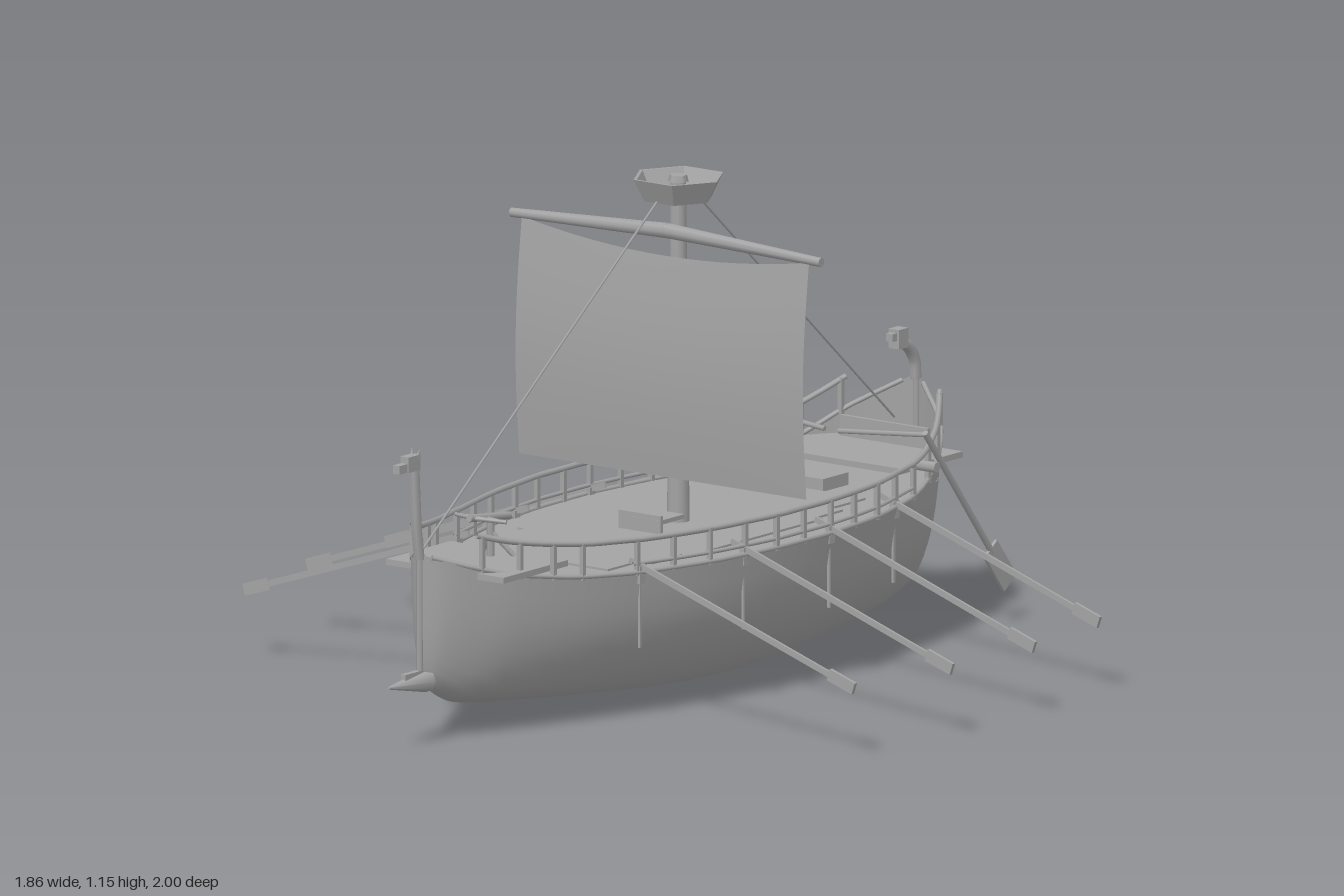
import * as THREE from 'three';

const grey = new THREE.MeshStandardMaterial({ color: 0xa3a3a3, side: THREE.DoubleSide });
grey.name = 'weatheredGrey';
const V = (x, y, z) => new THREE.Vector3(x, y, z);

// Hull stations: z, half width, sheer height, keel height
const stations = [
  [0.885, 0.004, 0.44, 0.15], [0.85, 0.05, 0.425, 0.12], [0.78, 0.1, 0.4, 0.083], [0.7, 0.147, 0.378, 0.066],
  [0.55, 0.212, 0.358, 0.045], [0.4, 0.264, 0.351, 0.028], [0.2, 0.318, 0.35, 0.01], [0, 0.345, 0.35, 0.001],
  [-0.2, 0.347, 0.35, 0.003], [-0.4, 0.325, 0.35, 0.016], [-0.6, 0.275, 0.355, 0.034], [-0.7, 0.24, 0.372, 0.044],
  [-0.8, 0.192, 0.408, 0.055], [-0.88, 0.135, 0.46, 0.066], [-0.94, 0.055, 0.51, 0.08], [-0.97, 0.004, 0.54, 0.095],
];
// Linear look-up of half width, sheer and keel at any z
function hullAt(z) {
  let i = 0;
  while (i < stations.length - 2 && z < stations[i + 1][0]) i++;
  const a = stations[i], b = stations[i + 1];
  const t = THREE.MathUtils.clamp((a[0] - z) / (a[0] - b[0]), 0, 1);
  return { w: a[1] + (b[1] - a[1]) * t, top: a[2] + (b[2] - a[2]) * t, keel: a[3] + (b[3] - a[3]) * t };
}

// Surface through a grid of points
function grid(nu, nv, at) {
  const pos = [], idx = [];
  for (let i = 0; i <= nu; i++) for (let j = 0; j <= nv; j++) {
    pos.push(...at(i / nu, j / nv));
    if (i < nu && j < nv) {
      const a = i * (nv + 1) + j, b = a + nv + 1;
      idx.push(a, b, a + 1, b, b + 1, a + 1);
    }
  }
  const g = new THREE.BufferGeometry();
  g.setAttribute('position', new THREE.Float32BufferAttribute(pos, 3));
  g.setIndex(idx);
  g.computeVertexNormals();
  return g;
}

export function createModel() {
  const ship = new THREE.Group();
  ship.name = 'galley';
  const add = (name, geo, parent = ship) => {
    const m = new THREE.Mesh(geo, grey);
    m.name = name;
    parent.add(m);
    return m;
  };
  const group = (name) => {
    const g = new THREE.Group();
    g.name = name;
    ship.add(g);
    return g;
  };
  const box = (name, w, h, d, x, y, z, parent) => {
    const m = add(name, new THREE.BoxGeometry(w, h, d), parent);
    m.position.set(x, y, z);
    return m;
  };
  // Round bar between two points
  const bar = (name, a, b, r0, r1 = r0, parent = ship, sides = 6) => {
    const m = add(name, new THREE.CylinderGeometry(r1, r0, a.distanceTo(b), sides), parent);
    m.position.copy(a).lerp(b, 0.5);
    m.quaternion.setFromUnitVectors(V(0, 1, 0), b.clone().sub(a).normalize());
    return m;
  };
  const tube = (name, pts, r, n = 24, parent = ship) =>
    add(name, new THREE.TubeGeometry(new THREE.CatmullRomCurve3(pts), n, r, 6), parent);

  // Hull shell: half section swept along the stations, mirrored across the keel
  const section = new THREE.CatmullRomCurve3([
    V(0, 0, 0), V(0.5, 0.1, 0), V(0.77, 0.33, 0), V(0.93, 0.62, 0), V(1, 1, 0)]);
  const spine = new THREE.CatmullRomCurve3(stations.map(s => V(s[1], s[2], s[0])));
  const keel = new THREE.CatmullRomCurve3(stations.map(s => V(0, s[3], s[0])));
  add('hull', grid(45, 20, (u, v) => {
    const s = spine.getPoint(u), k = keel.getPoint(u), t = v * 2 - 1;
    const p = section.getPoint(Math.abs(t));
    return [Math.sign(t) * p.x * s.x, k.y + (s.y - k.y) * p.y, s.z];
  }));

  // Deck planking and the raised platforms at both ends
  add('deck', grid(36, 1, (u, v) => {
    const z = 0.87 - u * 1.82;
    return [(1 - v * 2) * hullAt(z).w * 0.985, 0.348, z];
  }));
  for (const [w, z0, z1] of [[0.19, -0.53, 0.43], [0.225, -0.4, 0.31], [0.245, -0.3, 0.2]])
    box('deckPlanks', w * 2, 0.008, z1 - z0, 0, 0.349, (z0 + z1) / 2);
  box('bowPlatform', 0.335, 0.014, 0.24, 0, 0.385, 0.67);
  box('sternPlatform', 0.4, 0.014, 0.235, 0, 0.395, -0.762);
  box('sternBoard', 0.25, 0.05, 0.01, 0, 0.425, -0.85);
  box('sternHatch', 0.12, 0.03, 0.095, 0, 0.362, -0.588);
  box('mastBench', 0.12, 0.01, 0.09, 0, 0.38, 0.02);
  box('mastBenchBack', 0.12, 0.05, 0.008, 0, 0.37, 0.06);

  // Gunwales, railings and posts on both sides
  for (const s of [1, -1]) {
    const rails = group(s > 0 ? 'leftRailing' : 'rightRailing');
    const along = (z0, z1, lift, n, k = 0.99) => Array.from({ length: n + 1 }, (_, i) => {
      const z = z0 + (z1 - z0) * i / n, h = hullAt(z);
      return V(s * h.w * k, h.top + lift, z);
    });
    tube('gunwale', along(0.87, -0.955, 0, 24, 1), 0.006, 48, rails);
    tube('bowRail', along(0.79, 0.4, 0.076, 6), 0.007, 16, rails);
    tube('sideRail', along(0.42, -0.6, 0.075, 12), 0.007, 30, rails);
    tube('sternRail', along(-0.58, -0.88, 0.073, 6), 0.007, 16, rails);
    tube('lowerRail', along(0.42, -0.6, 0.02, 12), 0.005, 30, rails);
    for (const z of [0.78, 0.7, 0.62, 0.55, 0.41, 0.31, 0.21, 0.1, 0, -0.1, -0.2, -0.3, -0.4, -0.5, -0.6, -0.7, -0.79, -0.87]) {
      const h = hullAt(z);
      box('railPost', 0.011, 0.085, 0.011, s * h.w * 0.99, h.top + 0.035, z, rails);
    }

    // Rowing oars
    for (const [z, x0, x1] of [[0.4, 0.23, 0.87], [0.1, 0.29, 0.92], [-0.2, 0.3, 0.925], [-0.5, 0.25, 0.88]]) {
      const oar = group('oar');
      const len = Math.hypot(x1 - x0, 0.215);
      box('oarShaft', len - 0.05, 0.014, 0.007, -0.025, 0, 0, oar);
      box('oarBlade', 0.075, 0.028, 0.009, len / 2 - 0.0375, 0, 0, oar);
      oar.position.set(s * (x0 + x1) / 2, 0.268, z);
      oar.rotation.z = -Math.atan2(0.215, x1 - x0);
      if (s < 0) oar.rotation.set(0, Math.PI, oar.rotation.z);
      const h = hullAt(z);
      box('oarPortFrame', 0.012, 0.04, 0.02, s * h.w * 0.985, 0.345, z, oar.parent);
      box('hullRib', 0.006, 0.15, 0.006, s * h.w * 0.975, 0.25, z);
    }

    // Steering oars with tillers
    const steer = group('steeringOar');
    bar('steeringShaft', V(s * 0.26, 0.49, -0.66), V(s * 0.26, 0.17, -0.91), 0.008, 0.008, steer);
    const blade = box('steeringBlade', 0.008, 0.115, 0.055, s * 0.26, 0.135, -0.938, steer);
    blade.rotation.x = Math.atan2(0.25, 0.32);
    bar('tiller', V(s * 0.26, 0.485, -0.665), V(s * 0.02, 0.465, -0.652), 0.006, 0.006, steer);
    bar('steeringBracket', V(s * 0.21, 0.405, -0.695), V(s * 0.268, 0.405, -0.695), 0.013, 0.013, steer);
  }

  // Stem, sternpost and ram
  bar('stem', V(0, 0.14, 0.884), V(0, 0.45, 0.884), 0.008);
  bar('sternpost', V(0, 0.09, -0.966), V(0, 0.545, -0.968), 0.007);
  bar('ram', V(0, 0.145, 0.86), V(0, 0.15, 1.0), 0.028, 0.003, ship, 8);
  box('ramFin', 0.014, 0.03, 0.09, 0, 0.157, 0.9);

  // Bow figurehead
  const figure = group('figurehead');
  tube('figureheadNeck', [V(0, 0.43, 0.885), V(0, 0.5, 0.895), V(0, 0.57, 0.9), V(0, 0.65, 0.905)], 0.013, 12, figure);
  box('figureheadHead', 0.024, 0.036, 0.045, 0, 0.658, 0.918, figure);
  box('figureheadSnout', 0.018, 0.02, 0.036, 0, 0.651, 0.953, figure);
  for (const s of [1, -1]) bar('figureheadEar', V(s * 0.008, 0.67, 0.902), V(s * 0.011, 0.688, 0.898), 0.005, 0.001, figure);

  // Curled stern ornament
  const curl = group('sternOrnament');
  tube('sternCurl', [V(0, 0.53, -0.965), V(0, 0.575, -0.96), V(0, 0.61, -0.935), V(0, 0.628, -0.9)], 0.014, 14, curl);
  box('sternCurlHead', 0.03, 0.045, 0.035, 0, 0.635, -0.9, curl);
  box('sternCurlBeak', 0.018, 0.018, 0.028, 0, 0.641, -0.88, curl);

  // Mast and six-sided lookout
  bar('mast', V(0, 0.34, -0.08), V(0, 1.145, -0.08), 0.026, 0.018, ship, 12);
  bar('mastCap', V(0, 1.14, -0.08), V(0, 1.155, -0.08), 0.024, 0.02);
  const nestProfile = [[0.083, 1.1], [0.11, 1.152], [0.102, 1.152], [0.076, 1.1], [0.083, 1.1]];
  const nestGeo = new THREE.LatheGeometry(nestProfile.map(p => new THREE.Vector2(...p)), 6, Math.PI / 2).toNonIndexed();
  nestGeo.computeVertexNormals();
  add('lookout', nestGeo).position.z = -0.08;
  for (let i = 0; i < 3; i++) {
    const a = i * Math.PI / 3, c = Math.cos(a) * 0.08, d = Math.sin(a) * 0.08;
    bar('lookoutBrace', V(c, 1.105, d - 0.08), V(-c, 1.105, -d - 0.08), 0.004);
  }
  bar('foreStay', V(0, 1.105, 0), V(0, 0.445, 0.88), 0.003);
  bar('backStay', V(0, 1.105, -0.14), V(0, 0.455, -0.885), 0.003);

  // Yard and billowing sail
  for (const s of [1, -1]) bar('yard', V(0, 1.032, -0.04), V(s * 0.442, 1.017, -0.036), 0.018, 0.011, ship, 8);
  add('sail', grid(16, 12, (u, v) => {
    const x = u * 2 - 1, top = 0.975 + 0.038 * x * x;
    return [x * 0.41, 0.465 + (top - 0.465) * v, -0.022 - 0.01 * v + 0.018 * Math.sin(Math.PI * v)];
  }));

  // Bolt thrower on the bow platform
  const thrower = group('boltThrower');
  bar('throwerPost', V(0, 0.385, 0.62), V(0, 0.48, 0.62), 0.009, 0.009, thrower);
  bar('throwerStock', V(0, 0.474, 0.55), V(0, 0.492, 0.7), 0.009, 0.009, thrower);
  for (const s of [1, -1]) {
    bar('throwerArm', V(0, 0.49, 0.685), V(s * 0.072, 0.485, 0.655), 0.006, 0.005, thrower);
    bar('throwerString', V(s * 0.072, 0.485, 0.655), V(0, 0.484, 0.635), 0.003, 0.003, thrower);
    bar('throwerLeg', V(s * 0.045, 0.392, 0.59), V(0, 0.45, 0.62), 0.006, 0.006, thrower);
  }
  return ship;
}
